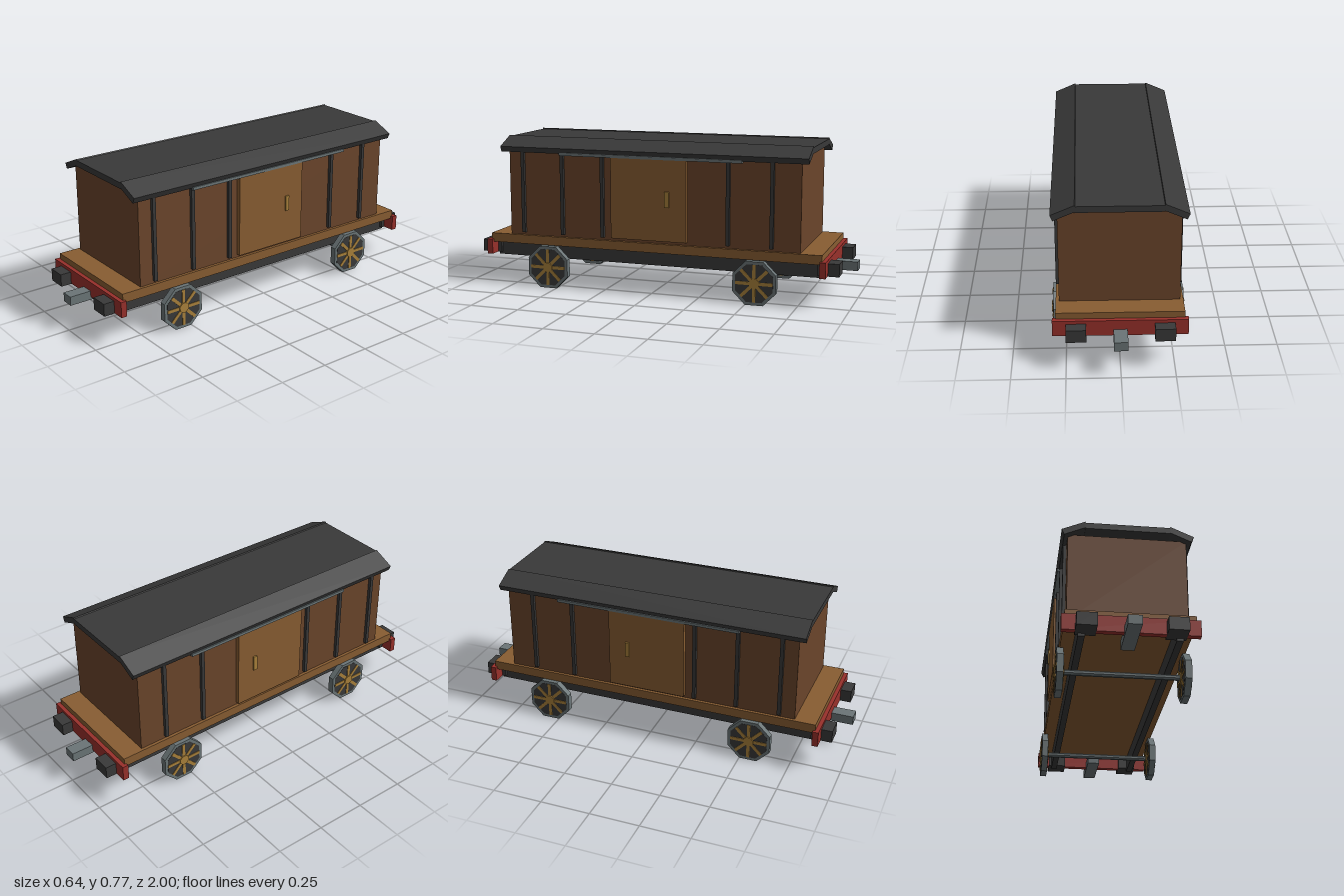
import * as THREE from 'three';

const mat = (name, color) => {
  const m = new THREE.MeshStandardMaterial({ color });
  m.name = name;
  return m;
};

export function createModel() {
  const wood = mat('brown wood', 0x6b452b);
  const plank = mat('light wood', 0x885d32);
  const iron = mat('dark iron', 0x393939);
  const steel = mat('grey steel', 0x6b7577);
  const red = mat('red paint', 0x98302b);
  const brass = mat('brass', 0xa9813b);

  const model = new THREE.Group();
  model.name = 'coveredWagon';

  const add = (parent, name, geometry, material, x = 0, y = 0, z = 0) => {
    const mesh = new THREE.Mesh(geometry, material);
    mesh.name = name;
    mesh.position.set(x, y, z);
    parent.add(mesh);
    return mesh;
  };
  // Box given by its lower and upper limits on each axis
  const box = (parent, name, material, [x0, x1], [y0, y1], [z0, z1]) =>
    add(parent, name, new THREE.BoxGeometry(x1 - x0, y1 - y0, z1 - z0), material,
      (x0 + x1) / 2, (y0 + y1) / 2, (z0 + z1) / 2);
  // Limits mirrored to the given side
  const side = (s, a, b) => (s > 0 ? [a, b] : [-b, -a]);
  // Faceted cylinder lying along x
  const rod = (radius, length, sides) => {
    const g = new THREE.CylinderGeometry(radius, radius, length, sides, 1, false, Math.PI / sides)
      .rotateZ(Math.PI / 2).toNonIndexed();
    g.computeVertexNormals();
    return g;
  };

  // Body and deck
  box(model, 'body', wood, [-0.28, 0.28], [0.266, 0.718], [-0.763, 0.763]);
  box(model, 'deck', plank, [-0.295, 0.295], [0.22, 0.266], [-0.87, 0.87]);

  // Roof: flat centre with two sloping sides
  box(model, 'roofCentre', iron, [-0.2, 0.2], [0.736, 0.766], [-0.8, 0.8]);
  for (const s of [1, -1]) {
    const slope = add(model, 'roofSlope', new THREE.BoxGeometry(0.12, 0.03, 1.6), iron, s * 0.25, 0.734, 0);
    slope.rotation.z = -s * 0.41;
  }

  // Side fittings: posts, sliding door, handle, rail and underframe beam
  for (const s of [1, -1]) {
    for (const z of [0.685, 0.467, 0.249, -0.405, -0.623]) {
      box(model, 'sidePost', iron, side(s, 0.275, 0.296), [0.28, 0.71], [z - 0.009, z + 0.009]);
    }
    box(model, 'door', plank, side(s, 0.278, 0.303), [0.282, 0.698], [-0.198, 0.198]);
    box(model, 'doorHandle', brass, side(s, 0.3, 0.311), [0.453, 0.531], [-0.109, -0.088]);
    box(model, 'doorRail', steel, side(s, 0.278, 0.308), [0.688, 0.702], [-0.475, 0.475]);
    box(model, 'soleBar', iron, side(s, 0.204, 0.235), [0.143, 0.22], [-0.86, 0.86]);
  }

  // End fittings: red beam, buffers and coupler
  for (const s of [1, -1]) {
    box(model, 'endBeam', red, [-0.311, 0.311], [0.157, 0.235], side(s, 0.86, 0.89));
    for (const b of [1, -1]) {
      box(model, 'buffer', iron, side(b, 0.156, 0.249), [0.156, 0.219], side(s, 0.84, 0.945));
    }
    box(model, 'coupler', steel, [-0.032, 0.032], [0.143, 0.188], side(s, 0.74, 1));
  }

  // Octagonal rim with an octagonal opening
  const octagon = (Type, r) => new Type(Array.from({ length: 8 }, (_, i) => {
    const a = (i + 0.5) * Math.PI / 4;
    return new THREE.Vector2(Math.cos(a) * r, Math.sin(a) * r);
  }));
  const rimShape = octagon(THREE.Shape, 0.117);
  rimShape.holes.push(octagon(THREE.Path, 0.1));
  const rimGeometry = new THREE.ExtrudeGeometry(rimShape, { depth: 0.032, bevelEnabled: false })
    .translate(0, 0, -0.016).rotateY(Math.PI / 2);
  const discGeometry = rod(0.101, 0.034, 8);
  const hubGeometry = rod(0.027, 0.05, 8);
  const spokeGeometry = new THREE.BoxGeometry(0.04, 0.186, 0.016);

  // Wheel sets
  for (const z of [0.545, -0.545]) {
    const wheelSet = new THREE.Group();
    wheelSet.name = 'wheelSet';
    wheelSet.position.set(0, 0.108, z);
    model.add(wheelSet);
    add(wheelSet, 'axle', rod(0.0135, 0.58, 8), steel, 0, 0.002, 0);
    for (const s of [1, -1]) {
      const wheel = new THREE.Group();
      wheel.name = 'wheel';
      wheel.position.x = s * 0.295;
      wheelSet.add(wheel);
      add(wheel, 'rim', rimGeometry, steel);
      add(wheel, 'wheelDisc', discGeometry, iron);
      add(wheel, 'hub', hubGeometry, brass);
      for (let i = 0; i < 4; i++) {
        add(wheel, 'spoke', spokeGeometry, brass).rotation.x = i * Math.PI / 4;
      }
    }
  }
  return model;
}
